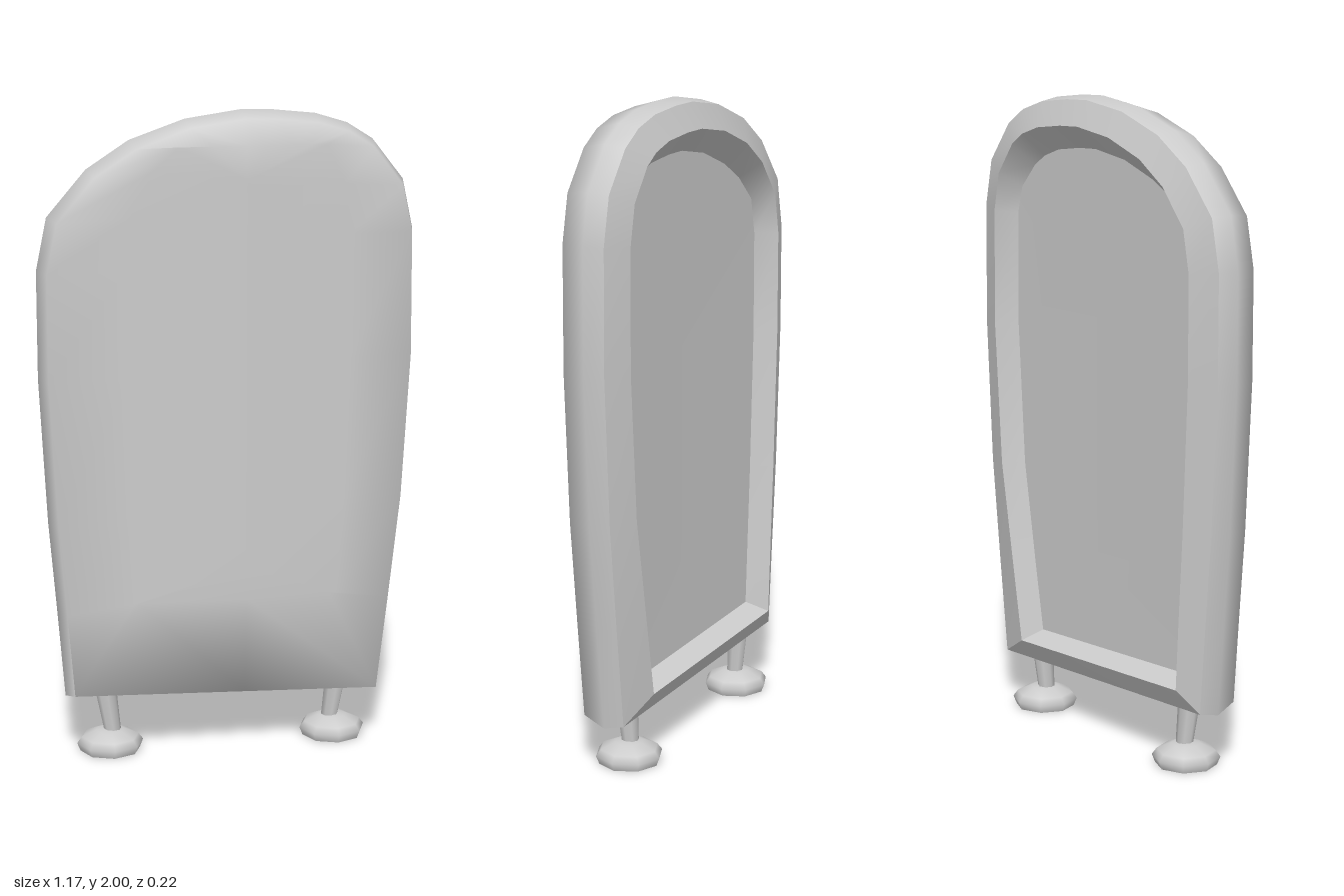
import * as THREE from 'three';
import { toCreasedNormals } from 'three/addons/utils/BufferGeometryUtils.js';

const { clamp, smoothstep } = THREE.MathUtils;

// Panel outline, clockwise seen from the front, starting at the lower right-hand corner of the model
const OUTLINE = [
  [-0.515, 0.188], [-0.537, 0.47], [-0.56, 0.75], [-0.583, 1.2], [-0.583, 1.53], [-0.55, 1.69], [-0.43, 1.83],
  [-0.3, 1.915], [-0.13, 1.975], [0.04, 2.0], [0.14, 1.998], [0.27, 1.985], [0.37, 1.955],
  [0.45, 1.905], [0.548, 1.78], [0.58, 1.63], [0.583, 1.25], [0.558, 0.8], [0.522, 0.47],
  [0.485, 0.152], [0.04, 0.168],
].map(([x, y]) => new THREE.Vector2(x, y));

// Outline moved inwards by d with mitred corners, placed at depth z
function ring(d, z) {
  const n = OUTLINE.length;
  return OUTLINE.map((p, i) => {
    const a = p.clone().sub(OUTLINE[(i + n - 1) % n]).normalize();
    const b = OUTLINE[(i + 1) % n].clone().sub(p).normalize();
    const k = d / (1 + a.dot(b));
    return new THREE.Vector3(p.x + (a.y + b.y) * k, p.y - (a.x + b.x) * k, z);
  });
}

// Ring squeezed towards a vertical centre line; width 0 closes a face
function spine(width, z, low, high, slope = 0) {
  return OUTLINE.map((p) => {
    const dx = (p.x - 0.04) * width;
    return new THREE.Vector3(0.04 + dx, clamp(p.y, low, high), z - slope * Math.abs(dx));
  });
}

// Skin a sequence of closed rings
function loft(rings, crease) {
  const n = OUTLINE.length;
  const index = [];
  for (let r = 0; r < rings.length - 1; r++) {
    for (let i = 0; i < n; i++) {
      const a = r * n + i, b = r * n + (i + 1) % n;
      index.push(a, a + n, b + n, a, b + n, b);
    }
  }
  const g = new THREE.BufferGeometry().setFromPoints(rings.flat());
  g.setIndex(index);
  return toCreasedNormals(g, crease);
}

export function createModel() {
  const group = new THREE.Group();
  const material = new THREE.MeshStandardMaterial({ color: 0xcccccc });
  const hollow = new THREE.MeshStandardMaterial({ color: 0xcccccc, side: THREE.DoubleSide });
  const add = (name, geometry, parent = group, mat = material) => {
    const mesh = new THREE.Mesh(geometry, mat);
    mesh.name = name;
    parent.add(mesh);
    return mesh;
  };

  // Back opening: narrows and skews slightly towards the bottom
  const lip = ring(0.09, -0.094).map((p) => {
    const t = clamp((0.9 - p.y) / 0.65, 0, 1);
    const x = p.x * 0.97;
    return new THREE.Vector3(x - t * (0.03 + 0.04 * x), p.y - 0.012 * t, p.z);
  });
  // Recess floor: a shallow dish with sloping walls, widest slope under the arch
  const floor = lip.map((p) => {
    const top = smoothstep(p.y, 1.55, 1.88), bottom = 1 - smoothstep(p.y, 0.25, 0.6);
    return new THREE.Vector3(p.x * 0.93, p.y - 0.07 * top + 0.03 * bottom, -0.025);
  });
  const edge = ring(0.012, -0.06);

  // Panel: domed front with rounded sides, bevelled back rim, recessed back
  add('frontShell', loft([
    edge, ring(0, 0.002), ring(0.022, 0.081),
    spine(0.6, 0.107, 0.5, 1.9, 0.047), spine(0, 0.107, 0.6, 1.8),
  ], 1.38));
  add('backRim', loft([lip, edge], 0.5));
  add('recessWall', loft([floor, lip], 0.6));
  add('recessFloor', loft([spine(0, -0.022, 0.5, 1.5), floor], 0.5));

  // Feet: a tilted post on an octagonal, hollow-bottomed pad
  const padProfile = [[0, 0.045], [0.095, 0], [0.105, 0.025], [0.09, 0.045], [0.045, 0.065], [0, 0.07]]
    .map(([x, y]) => new THREE.Vector2(x, y));
  for (const [side, x, lean, top] of [['right', -0.375, -1, 0.23], ['left', 0.343, 1, 0.21]]) {
    const foot = new THREE.Group();
    foot.name = side + 'Foot';
    foot.position.set(x, 0, -0.004);
    group.add(foot);
    add('footPad', toCreasedNormals(new THREE.LatheGeometry(padProfile, 8), 1.3), foot, hollow);
    const post = new THREE.CylinderGeometry(0.035, 0.026, top - 0.05, 8);
    post.translate(0, (top + 0.05) / 2, 0);
    // Shear so the post leans outwards
    const p = post.attributes.position;
    for (let i = 0; i < p.count; i++) p.setX(i, p.getX(i) + lean * (0.15 * (p.getY(i) - 0.05) - 0.01));
    add('footPost', post, foot);
  }
  return group;
}
